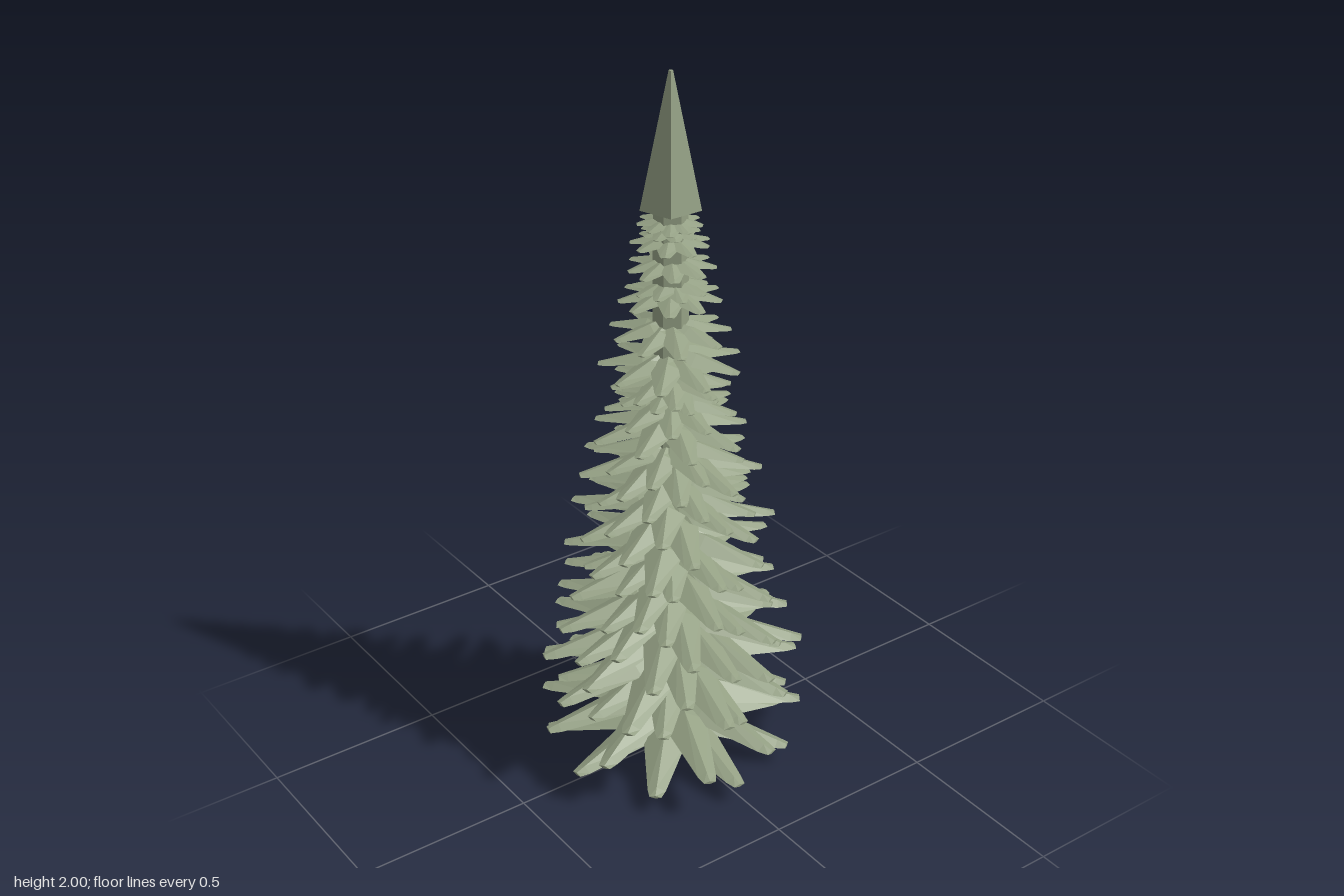
import * as THREE from 'three';

const material = new THREE.MeshStandardMaterial({ color: 0x94a084, flatShading: true });

// Unit branch along +x: a four-sided spike with a sloping ridge, a nearly level keel and a blunt tip
function branchGeometry() {
  // distance out, edge height, half width, ridge height above edge, keel depth below edge
  const sections = [
    [0.0, 0.11, 0.95, 0.15, 0.11],
    [0.38, 0.08, 1.0, 0.095, 0.07],
    [0.92, 0.0, 0.42, 0.03, 0.02],
    [1.0, -0.005, 0.28, 0.012, 0.012],
  ];
  const rings = sections.map(([x, y, w, up, down]) => [
    [x, y, -w], [x, y + up, 0], [x, y, w], [x, y - down, 0],
  ]);
  const positions = [];
  const quad = (a, b, c, d) => positions.push(...a, ...b, ...c, ...a, ...c, ...d);
  for (let i = 0; i < rings.length - 1; i++) {
    const a = rings[i], b = rings[i + 1];
    for (let k = 0; k < 4; k++) {
      const n = (k + 1) % 4;
      quad(a[k], a[n], b[n], b[k]);
    }
  }
  quad(...rings[rings.length - 1]);
  const geometry = new THREE.BufferGeometry();
  geometry.setAttribute('position', new THREE.Float32BufferAttribute(positions, 3));
  geometry.computeVertexNormals();
  return geometry;
}

// Small seeded generator for natural variation
function seeded(seed) {
  return () => {
    seed = (seed * 16807) % 2147483647;
    return seed / 2147483647;
  };
}

export function createModel() {
  const tree = new THREE.Group();
  tree.name = 'conifer';
  const random = seeded(4127);
  const vary = (amount) => (random() * 2 - 1) * amount;

  // Six-sided trunk
  const trunk = new THREE.Mesh(new THREE.CylinderGeometry(0.045, 0.055, 1.66, 6), material);
  trunk.name = 'trunk';
  trunk.position.y = 0.83;
  tree.add(trunk);

  // Five-sided pointed top
  const crown = new THREE.Mesh(
    new THREE.CylinderGeometry(0.006, 0.082, 0.355, 5, 1, false, Math.PI), material);
  crown.name = 'crown';
  crown.position.y = 1.8225;
  tree.add(crown);

  // Whorls of branches: tip height, radius
  const whorls = [
    [0.05, 0.35], [0.135, 0.365], [0.245, 0.32], [0.28, 0.365], [0.375, 0.36], [0.4, 0.33],
    [0.47, 0.33], [0.515, 0.28], [0.565, 0.295], [0.62, 0.25], [0.66, 0.28],
    [0.75, 0.275], [0.79, 0.24], [0.85, 0.22], [0.915, 0.245], [0.945, 0.2],
    [1.025, 0.21], [1.08, 0.175], [1.125, 0.14], [1.16, 0.16], [1.21, 0.185],
    [1.3, 0.16], [1.4, 0.135], [1.425, 0.1], [1.485, 0.115],
    [1.55, 0.1], [1.58, 0.075], [1.6, 0.085],
  ];
  const geometry = branchGeometry();
  const count = 9;
  whorls.forEach(([y, radius], tier) => {
    const whorl = new THREE.Group();
    whorl.name = `whorl${tier + 1}`;
    whorl.position.y = y;
    whorl.rotation.y = THREE.MathUtils.degToRad(24 - 16 * tier);
    for (let i = 0; i < count; i++) {
      const branch = new THREE.Mesh(geometry, material);
      branch.name = 'branch';
      const length = radius * (1 + vary(0.04));
      branch.scale.set(length, 0.012 + 0.98 * radius, 0.025 + 0.1 * radius);
      branch.rotation.y = (i / count) * Math.PI * 2 + vary(0.08);
      branch.position.y = vary(0.03) * radius;
      whorl.add(branch);
    }
    tree.add(whorl);
  });

  return tree;
}
